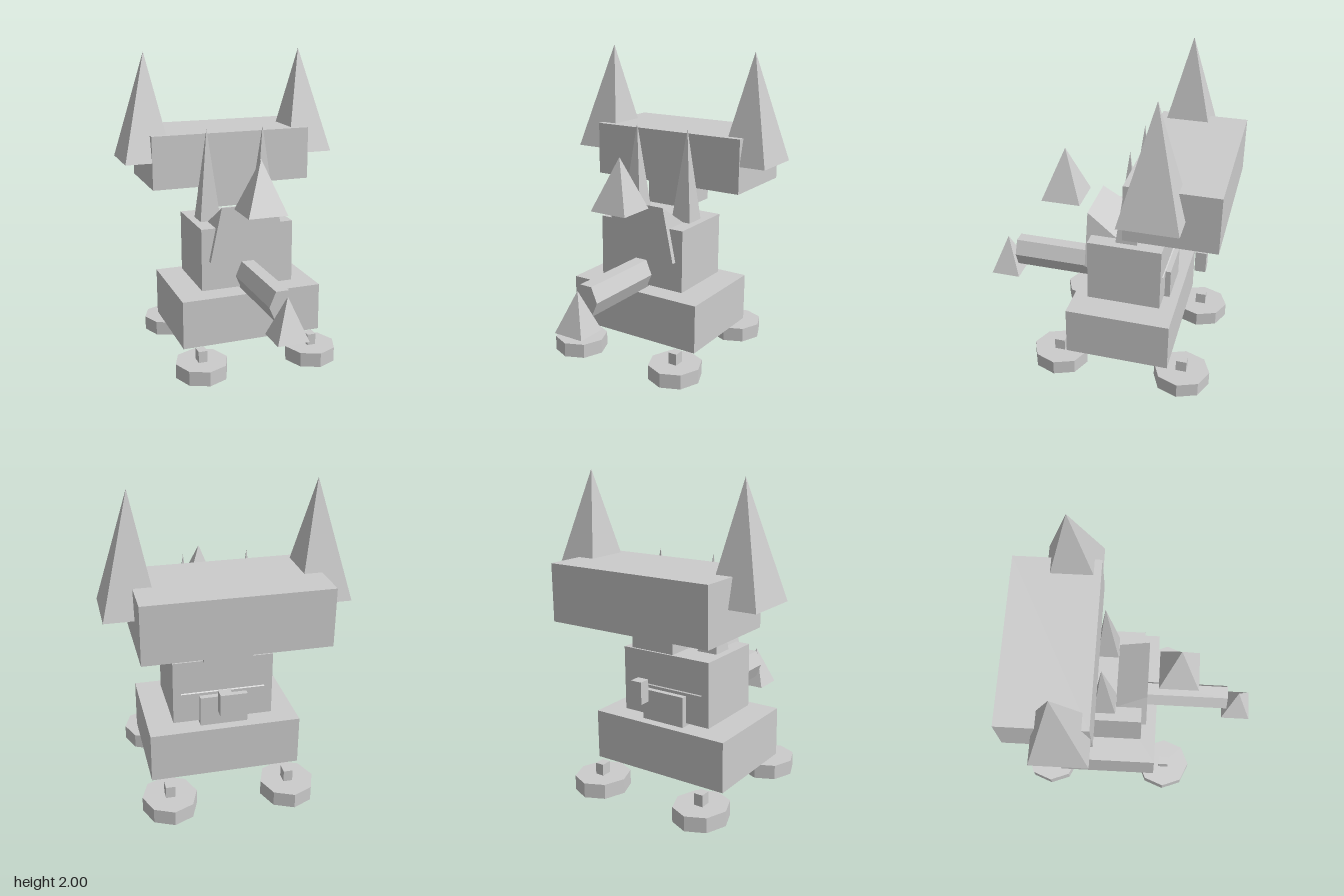
import * as THREE from 'three';

export function createModel() {
  const model = new THREE.Group();
  const grey = new THREE.MeshStandardMaterial({ color: 0xcccccc });
  grey.name = 'plain grey';

  const add = (name, geometry, x = 0, y = 0, z = 0) => {
    const flat = geometry.index ? geometry.toNonIndexed() : geometry;
    flat.computeVertexNormals();
    const mesh = new THREE.Mesh(flat, grey);
    mesh.name = name;
    mesh.position.set(x, y, z);
    model.add(mesh);
    return mesh;
  };

  // Box given by its limits on each axis
  const box = (name, x0, x1, y0, y1, z0, z1) =>
    add(name, new THREE.BoxGeometry(x1 - x0, y1 - y0, z1 - z0),
      (x0 + x1) / 2, (y0 + y1) / 2, (z0 + z1) / 2);

  // Four-sided spike standing on y, with an optional sideways lean of the tip
  const spike = (name, x, y, z, width, height, depth, lean = 0) => {
    const g = new THREE.ConeGeometry(Math.SQRT1_2, 1, 4).rotateY(Math.PI / 4);
    g.translate(0, 0.5, 0).scale(width, height, depth);
    const p = g.attributes.position;
    for (let i = 0; i < p.count; i++) {
      p.setX(i, p.getX(i) + lean * p.getY(i) / height);
    }
    return add(name, g, x, y, z);
  };

  // Chassis and body
  box('base', -0.475, 0.475, 0.155, 0.475, -0.53, 0.14);
  box('body', -0.315, 0.315, 0.495, 0.91, -0.435, 0.04);
  box('rearBlock', -0.15, 0.15, 0.475, 0.67, -0.47, -0.3);
  box('rearKnob', 0, 0.075, 0.66, 0.8, -0.68, -0.61);

  // Head block and the neck beneath it
  box('neck', -0.148, 0.148, 0.965, 1.13, -0.565, -0.27);
  box('head', -0.55, 0.55, 1.12, 1.475, -0.805, -0.245);

  // Chest wedge: upright front, sloping back, narrowing upwards
  const wedge = new THREE.BoxGeometry(1, 1, 1);
  const p = wedge.attributes.position;
  for (let i = 0; i < p.count; i++) {
    const top = p.getY(i) > 0, front = p.getZ(i) > 0;
    const raised = top && front;
    p.setXYZ(i, Math.sign(p.getX(i)) * (raised ? 0.187 : 0.265),
      raised ? 1.05 : 0.692, front ? 0.073 : -0.442);
  }
  // the box underside and the collapsed back edge close the wedge
  add('chestWedge', wedge);

  // Six-sided trunk pointing forwards
  const trunk = new THREE.CylinderGeometry(1, 1, 0.615, 6)
    .rotateY(Math.PI / 6).rotateX(Math.PI / 2).scale(0.083, 0.111, 1);
  add('trunk', trunk, 0, 0.57, 0.3175);

  // Spikes on the centre line
  spike('trunkTip', 0, 0.4, 0.703, 0.2, 0.26, 0.197);
  spike('floatingSpike', 0, 1.055, 0.272, 0.257, 0.335, 0.257);

  for (const s of [-1, 1]) {
    const side = s > 0 ? 'left' : 'right';
    // Large horns on the head, thin spikes on the body
    spike(side + 'Horn', s * 0.566, 1.3, -0.427, 0.318, 0.7, 0.36, -s * 0.021);
    spike(side + 'BodySpike', s * 0.196, 0.905, -0.2, 0.14, 0.61, 0.14);

    // Eight-sided feet with short square stems
    for (const [end, z] of [['Front', 0.21], ['Rear', -0.61]]) {
      const foot = new THREE.CylinderGeometry(1, 1, 0.095, 8).scale(0.171, 1, 0.182);
      add(side + end + 'Foot', foot, s * 0.378, 0.0475, z);
      box(side + end + 'Stem', s * 0.378 - 0.029, s * 0.378 + 0.029, 0.09, 0.17, z - 0.034, z + 0.034);
    }
  }
  return model;
}
